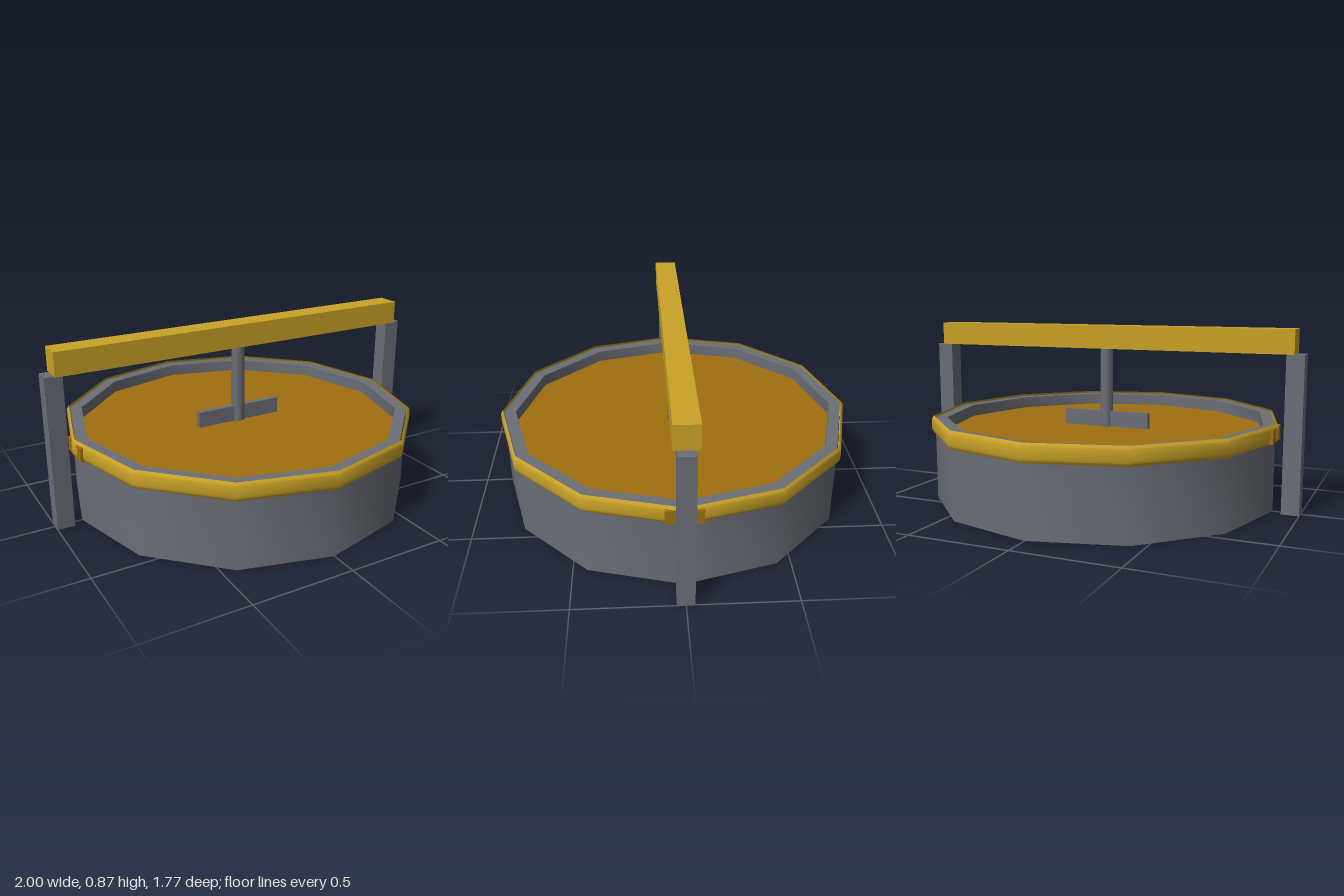
import * as THREE from 'three';
import { toCreasedNormals } from 'three/addons/utils/BufferGeometryUtils.js';

const SIDES = 12;

export function createModel() {
  const steel = new THREE.MeshStandardMaterial({ color: 0x6b6e76 });
  steel.name = 'greySteel';
  const gold = new THREE.MeshStandardMaterial({ color: 0xc9a227, side: THREE.DoubleSide });
  gold.name = 'gold';
  const bronze = new THREE.MeshStandardMaterial({ color: 0xa0700f });
  bronze.name = 'darkBronze';

  const model = new THREE.Group();
  model.name = 'hatch';

  const add = (name, geometry, material, x = 0, y = 0, z = 0) => {
    const mesh = new THREE.Mesh(geometry, material);
    mesh.name = name;
    mesh.position.set(x, y, z);
    model.add(mesh);
    return mesh;
  };
  // Twelve-sided turned part: smooth around, sharp at profile corners
  const turned = (points) => toCreasedNormals(
    new THREE.LatheGeometry(points.map(([r, y]) => new THREE.Vector2(r, y)), SIDES), 0.6);

  // Drum with a raised wall around the lid
  add('drum', turned([[0, 0], [0.868, 0], [0.868, 0.415], [0.81, 0.415], [0.81, 0.35]]), steel);

  // Band around the drum, standing slightly clear of the wall
  add('rimBand', turned([[0.875, 0.337], [0.884, 0.35], [0.887, 0.365],
    [0.887, 0.398], [0.884, 0.413], [0.875, 0.425]]), gold);

  // Recessed lid
  add('lid', new THREE.CircleGeometry(0.812, SIDES).rotateX(-Math.PI / 2), bronze, 0, 0.355, 0);

  // Handle bar on the lid and the post up to the beam
  add('handleBar', new THREE.BoxGeometry(0.46, 0.08, 0.03), steel, 0, 0.395, 0);
  add('post', new THREE.CylinderGeometry(0.033, 0.033, 0.41, 12), steel, 0, 0.56, 0);

  // Legs and the side blocks behind them
  for (const [side, s] of [['left', 1], ['right', -1]]) {
    add(side + 'Leg', new THREE.BoxGeometry(0.085, 0.757, 0.08), steel, s * 0.9575, 0.3785, 0);
    add(side + 'Block', new THREE.BoxGeometry(0.04, 0.07, 0.17), bronze, s * 0.857, 0.375, 0);
  }

  // Beam across the top
  add('beam', new THREE.BoxGeometry(1.91, 0.116, 0.114), gold, 0, 0.815, 0);

  return model;
}
